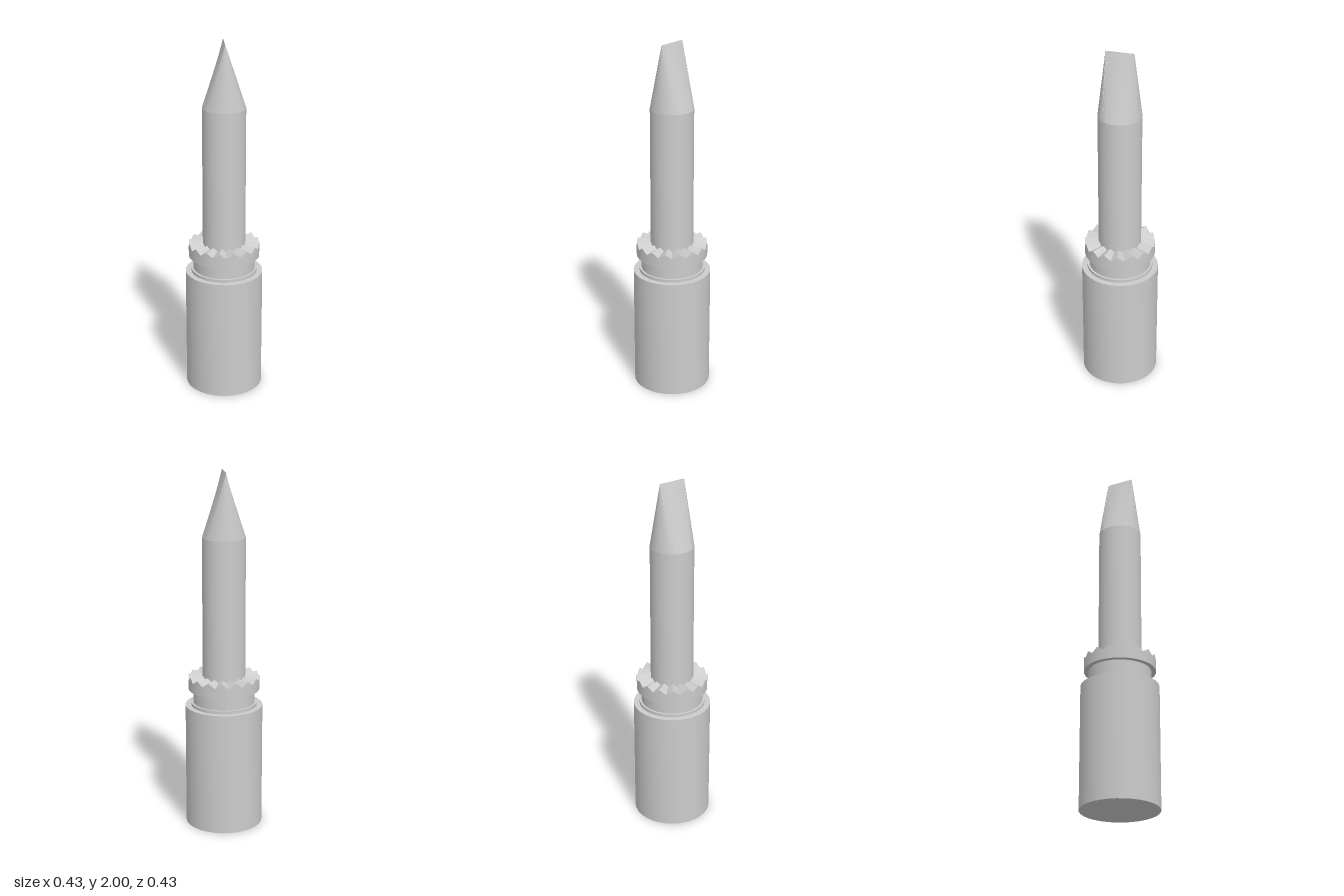
import * as THREE from 'three';
import { toCreasedNormals } from 'three/addons/utils/BufferGeometryUtils.js';

const material = new THREE.MeshStandardMaterial({ color: 0xcccccc });
const CREASE = 0.5;

function addMesh(group, name, geometry) {
  const mesh = new THREE.Mesh(toCreasedNormals(geometry, CREASE), material);
  mesh.name = name;
  group.add(mesh);
}

// Solid of revolution from [radius, height] pairs, bottom to top
function turned(profile, segments) {
  return new THREE.LatheGeometry(profile.map(([r, y]) => new THREE.Vector2(r, y)), segments);
}

function fromTriangles(points) {
  const geometry = new THREE.BufferGeometry();
  geometry.setAttribute('position', new THREE.Float32BufferAttribute(points.flat(), 3));
  geometry.computeVertexNormals();
  return geometry;
}

const polar = (r, a, y) => [r * Math.cos(a), y, r * Math.sin(a)];

// Collar whose top face is a ring of radial V-shaped teeth
function toothedCollar(inner, outer, bottom, top, depth, teeth) {
  const tris = [];
  const count = teeth * 2;
  const corner = (i) => {
    const a = (i / count) * Math.PI * 2;
    const valley = i % 2 === 0 ? depth : 0;
    return {
      base: polar(outer, a, bottom),
      baseIn: polar(inner, a, bottom),
      rim: polar(outer, a, top - valley),
      root: polar(inner, a, top - valley * inner / outer),
    };
  };
  for (let i = 0; i < count; i++) {
    const p = corner(i), q = corner(i + 1);
    tris.push(p.rim, p.root, q.rim, p.root, q.root, q.rim); // tooth flank
    tris.push(p.base, p.rim, q.base, p.rim, q.rim, q.base); // outer wall
    tris.push(p.baseIn, p.base, q.baseIn, p.base, q.base, q.baseIn); // underside
  }
  return fromTriangles(tris);
}

// Round section drawn up to a straight edge along z
function chiselTip(radius, bottom, top, halfEdge, segments) {
  const tris = [];
  const low = (i) => polar(radius, (i / segments) * Math.PI * 2, bottom);
  const high = (i) => [0, top, THREE.MathUtils.clamp(low(i)[2], -halfEdge, halfEdge)];
  for (let i = 0; i < segments; i++) {
    const a = low(i), b = low(i + 1), c = high(i), d = high(i + 1);
    tris.push(a, c, b);
    if (Math.abs(c[2] - d[2]) > 1e-6) tris.push(c, d, b);
  }
  return fromTriangles(tris);
}

export function createModel() {
  const group = new THREE.Group();
  group.name = 'chiselBit';

  // Wide base, with a low step and the neck above it
  addMesh(group, 'base', turned([[0, 0], [0.216, 0], [0.216, 0.693], [0.18, 0.693]], 32));
  addMesh(group, 'step', turned([[0.184, 0.69], [0.184, 0.71], [0.16, 0.71]], 32));
  addMesh(group, 'neck', turned([[0.172, 0.7], [0.172, 0.79]], 32));

  // Locking teeth around the shaft
  addMesh(group, 'toothedCollar', toothedCollar(0.11, 0.198, 0.785, 0.867, 0.026, 16));

  // Shaft and chisel point
  addMesh(group, 'shaft', turned([[0.119, 0.8], [0.119, 1.64]], 64));
  addMesh(group, 'tip', chiselTip(0.119, 1.64, 2, 0.077, 64));

  return group;
}
